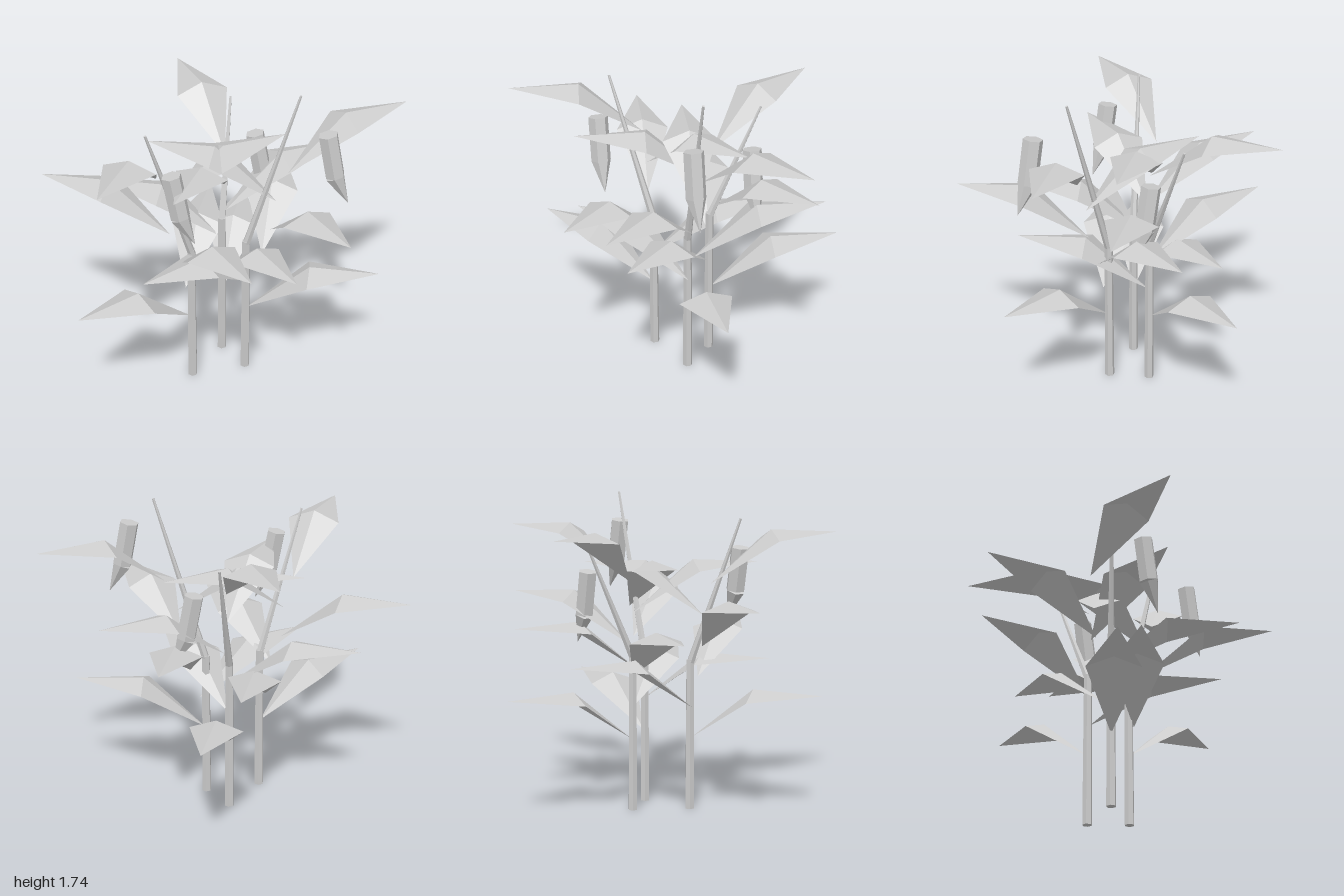
import * as THREE from 'three';

const material = new THREE.MeshStandardMaterial({ color: 0xcccccc, flatShading: true });
const leafMaterial = new THREE.MeshStandardMaterial({ color: 0xcccccc, flatShading: true, side: THREE.DoubleSide });
const UP = new THREE.Vector3(0, 1, 0);
const GOLDEN = THREE.MathUtils.degToRad(137.5);

// Six-sided tapered rod from point a to point b
function rod(name, a, b, ra, rb) {
  const from = new THREE.Vector3(...a), to = new THREE.Vector3(...b);
  const dir = to.clone().sub(from);
  const mesh = new THREE.Mesh(new THREE.CylinderGeometry(rb, ra, dir.length(), 6), material);
  mesh.position.copy(from).add(to).multiplyScalar(0.5);
  mesh.quaternion.setFromUnitVectors(UP, dir.normalize());
  mesh.name = name;
  return mesh;
}

// Folded kite-shaped blade: rises from the base to a ridge, then runs level to the tip
function leafGeometry() {
  const base = [0.01, 0, 0], ridge = [0.355, 0.285, 0], tip = [0.74, 0.265, 0];
  const left = [0.347, 0.23, -0.147], right = [0.347, 0.23, 0.147];
  const faces = [base, ridge, left, base, right, ridge, ridge, tip, left, ridge, right, tip];
  const g = new THREE.BufferGeometry();
  g.setAttribute('position', new THREE.Float32BufferAttribute(faces.flat(), 3));
  g.computeVertexNormals();
  return g;
}

// Hanging ear: straight body with a pointed lower end
function makeEar(x, y, z) {
  const ear = new THREE.Group();
  ear.name = 'ear';
  ear.add(rod('earBody', [0.045, -0.24, 0], [0, 0, 0], 0.054, 0.054));
  ear.add(rod('earPoint', [0.12, -0.4, 0], [0.045, -0.24, 0], 0.001, 0.054));
  ear.position.set(x, y, z);
  return ear;
}

export function createModel() {
  const model = new THREE.Group();
  model.name = 'plantCluster';
  const blade = leafGeometry();

  // Each plant: foot, bend height, stalk tip, leaf drift per level, ear position
  const plants = [
    { x: 0.13, z: 0.04, bend: 0.83, tip: [0.41, 1.74, 0.04], drift: 0.043, ear: [0.56, 1.57, 0.135] },
    { x: -0.16, z: 0.155, bend: 0.83, tip: [-0.37, 1.62, 0.34], drift: -0.036, ear: [-0.225, 1.45, 0.44] },
    { x: -0.02, z: -0.13, bend: 0.87, tip: [0, 1.5, -0.41], drift: 0.004, ear: [0.145, 1.325, -0.315] },
  ];

  plants.forEach((p, i) => {
    const plant = new THREE.Group();
    plant.name = 'plant';
    plant.add(rod('lowerStalk', [p.x, 0, p.z], [p.x, p.bend + 0.01, p.z], 0.027, 0.023));
    plant.add(rod('upperStalk', [p.x, p.bend - 0.01, p.z], p.tip, 0.022, 0.007));

    // Six leaves spiralling upwards
    for (let k = 0; k < 6; k++) {
      const leaf = new THREE.Mesh(blade, leafMaterial);
      leaf.name = 'leaf';
      leaf.position.set(p.x + p.drift * k, 0.405 + 0.174 * k, p.z);
      leaf.rotation.y = -GOLDEN * (i + k);
      plant.add(leaf);
    }

    plant.add(makeEar(...p.ear));
    model.add(plant);
  });

  return model;
}
